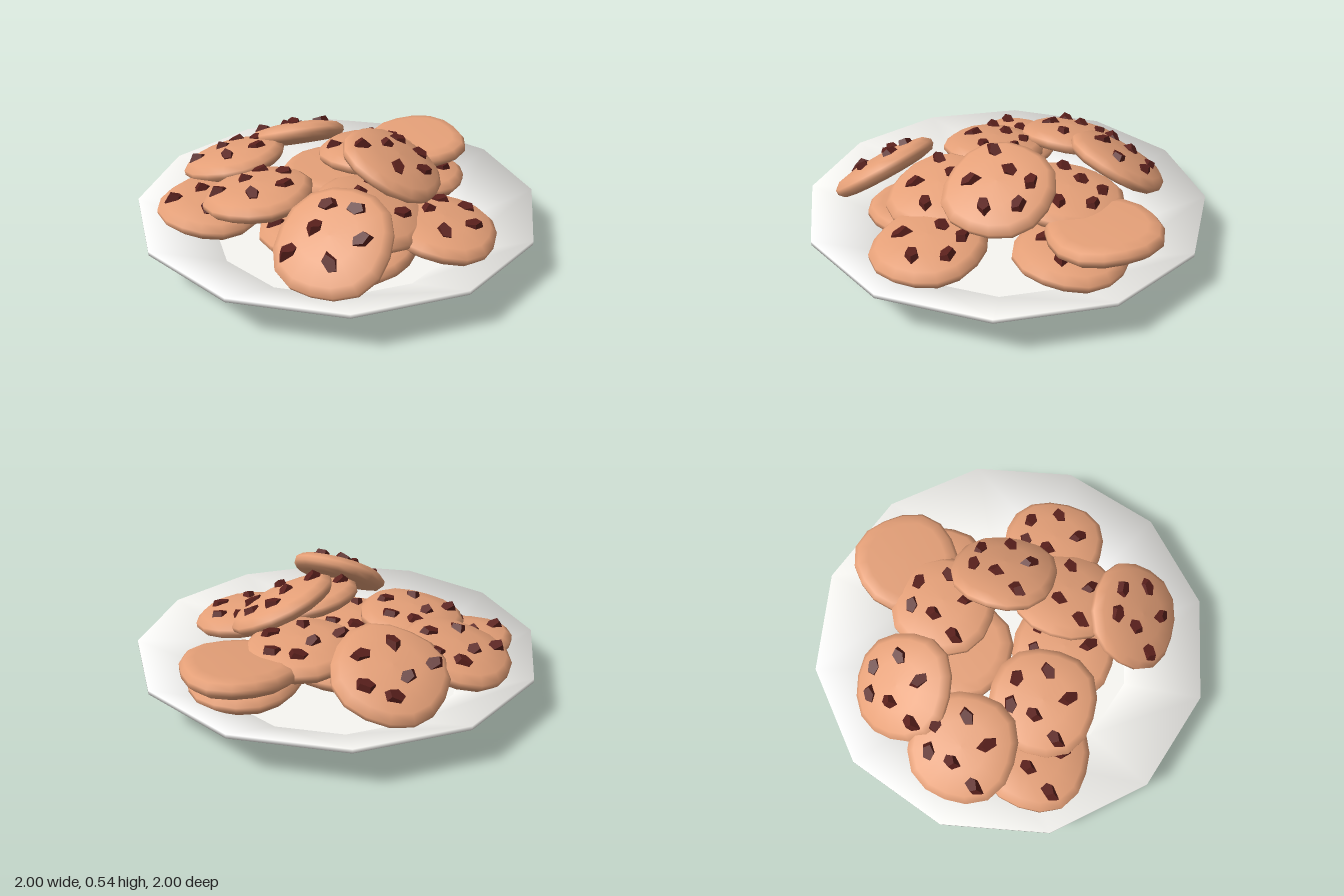
import * as THREE from 'three';

const doughMat = new THREE.MeshStandardMaterial({ color: 0xe5a078 });
const chipMat = new THREE.MeshStandardMaterial({ color: 0x5a201c, flatShading: true });
const plateMat = new THREE.MeshStandardMaterial({ color: 0xf8f7f3 });

const lathe = (pairs, sides) =>
  new THREE.LatheGeometry(pairs.map(([x, y]) => new THREE.Vector2(x, y)), sides);

// Twelve-sided plate: smooth shell with a sloping rim, and a flat floor
function makePlate() {
  const plate = new THREE.Group();
  plate.name = 'plate';
  const shellGeo = lathe([[0, 0], [0.63, 0], [1, 0.19], [1, 0.21], [0.63, 0.03]], 12);
  const { position, normal } = shellGeo.attributes;
  // Shade the lip as if it were rounded outwards
  for (let i = 0; i < position.count; i++) {
    if (position.getY(i) > 0.2) {
      normal.setXYZ(i, position.getX(i) * 0.6, 0.8, position.getZ(i) * 0.6);
    }
  }
  const shell = new THREE.Mesh(shellGeo, plateMat);
  shell.name = 'plateShell';
  const floor = new THREE.Mesh(new THREE.CircleGeometry(0.63, 12), plateMat);
  floor.name = 'plateFloor';
  floor.rotation.x = -Math.PI / 2;
  floor.position.y = 0.03;
  plate.add(shell, floor);
  return plate;
}

// Domed dough disc with a flat base and an uneven, slightly square outline
function makeDoughGeometry() {
  const geo = lathe([[0, -0.05], [0.2, -0.05], [0.25, -0.039], [0.27, -0.015],
    [0.27, 0.01], [0.235, 0.04], [0.13, 0.061], [0, 0.066]], 16);
  const pos = geo.attributes.position;
  for (let i = 0; i < pos.count; i++) {
    const x = pos.getX(i), z = pos.getZ(i);
    const a = Math.atan2(z, x);
    const s = 0.995 - 0.028 * Math.cos(4 * a + 0.3) + 0.014 * Math.sin(3 * a);
    pos.setX(i, x * s);
    pos.setZ(i, z * s);
  }
  return geo;
}

// Chocolate chips: x, z, turn, length
const CHIPS = [
  [-0.07, -0.14, 0.3, 1.3], [0.06, -0.155, 0.1, 1.3], [-0.08, -0.02, 1.2, 1.1],
  [0.14, -0.02, 0.8, 1.35], [0.05, 0.115, 2.4, 1.4], [-0.15, 0.11, 1.0, 1.4],
];

// Cookies: x, y, z, tilt about x, tilt about z, turn
const COOKIES = [
  [0.03, 0.165, 0.28, 0, 0],            // bottom layer
  [0.27, 0.14, 0.33, Math.PI, 0],
  [-0.54, 0.17, 0.32, 0.04, -0.08],
  [0.225, 0.16, -0.5, -0.06, 0],
  [-0.15, 0.2, -0.22, Math.PI, 0],
  [0.575, 0.195, 0.045, 0, -0.13],
  [0.275, 0.28, 0.2, 0, -0.26],         // middle layer
  [-0.295, 0.27, 0.27, 0.02, 0.12],
  [-0.63, 0.27, -0.02, 0, 0.23],
  [0.01, 0.3, -0.36, -0.06, 0],
  [0.175, 0.285, -0.63, Math.PI + 0.09, 0, 0.7],
  [-0.455, 0.3, -0.395, -0.34, 0.33],   // leaning cookies on top
  [0.25, 0.385, -0.12, -0.1, -0.44],
  [0.27, 0.31, 0.565, 0.6, 0],
];

export function createModel() {
  const model = new THREE.Group();
  model.name = 'plateOfCookies';
  model.add(makePlate());

  const doughGeo = makeDoughGeometry();
  const chipGeo = new THREE.CylinderGeometry(0.031, 0.043, 0.05, 5);

  COOKIES.forEach(([x, y, z, tiltX, tiltZ, turnY = 0], i) => {
    const cookie = new THREE.Group();
    cookie.name = `cookie${i + 1}`;
    const dough = new THREE.Mesh(doughGeo, doughMat);
    dough.name = 'dough';
    cookie.add(dough);

    // Upside-down cookies show only their plain base
    if (tiltX < 3) {
      CHIPS.forEach(([cx, cz, turn, length], j) => {
        const chip = new THREE.Mesh(chipGeo, chipMat);
        chip.name = 'chocolateChip';
        chip.position.set(cx, 0.06 - 0.5 * (cx * cx + cz * cz), cz);
        chip.rotation.set(0.3 * Math.sin(j * 2.1), turn, 0.3 * Math.cos(j * 1.7));
        chip.scale.set(length, 1, 0.9);
        cookie.add(chip);
      });
    }
    cookie.position.set(x, y, z);
    cookie.rotation.set(tiltX, turnY, tiltZ, 'XZY');
    model.add(cookie);
  });
  return model;
}
